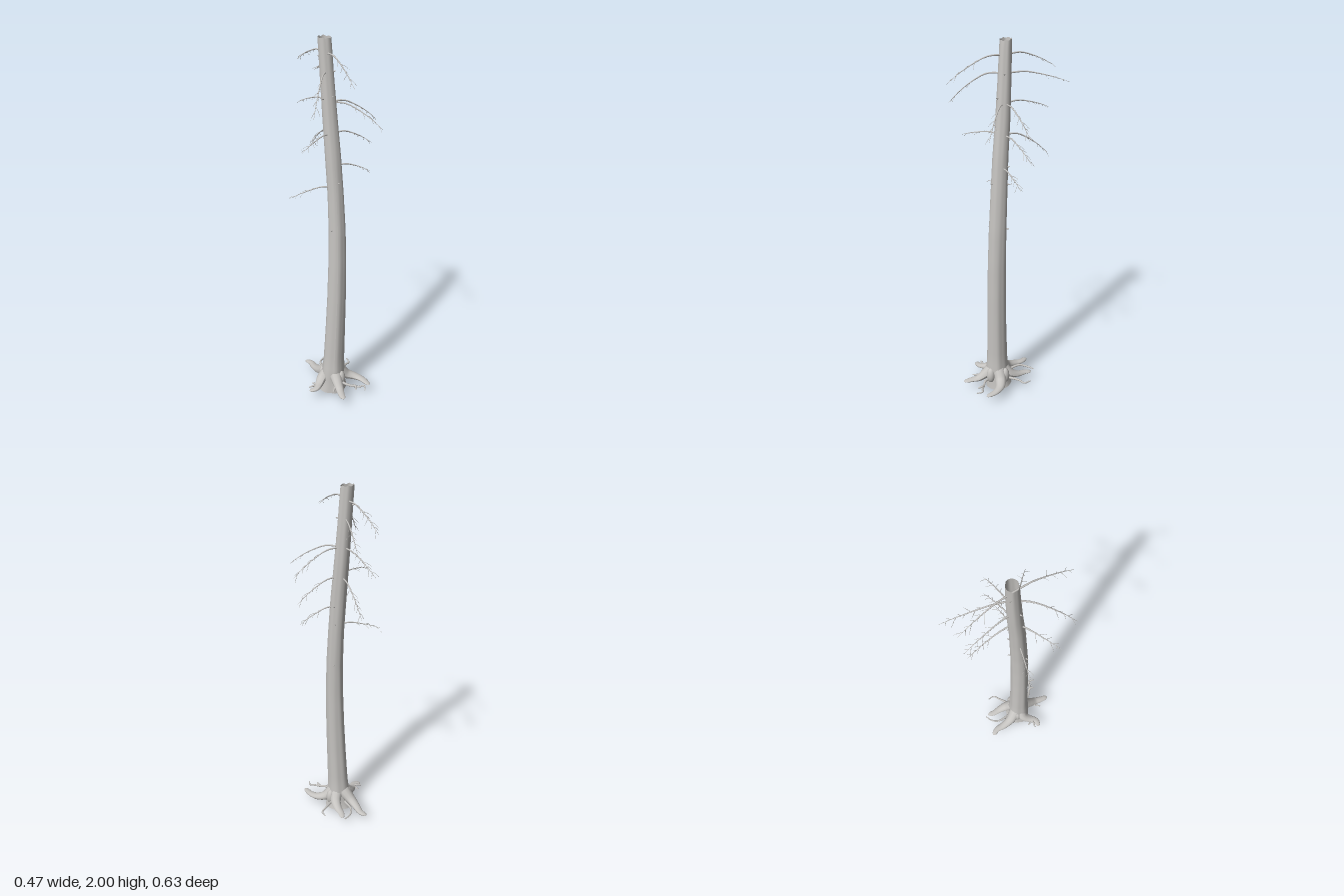
import * as THREE from 'three';
import { mergeGeometries } from 'three/addons/utils/BufferGeometryUtils.js';

const V = (x, y, z) => new THREE.Vector3(x, y, z);

// Trunk rows: height, centre x, centre z, radius x, radius z
const ROWS = [
  [0, -0.015, 0.063, 0.08, 0.073], [0.03, -0.013, 0.066, 0.072, 0.067],
  [0.06, -0.012, 0.068, 0.068, 0.065], [0.12, -0.011, 0.071, 0.064, 0.063],
  [0.2, -0.008, 0.072, 0.058, 0.057], [0.4, 0, 0.073, 0.054, 0.053],
  [0.6, 0.007, 0.073, 0.051, 0.051], [0.8, 0.011, 0.071, 0.048, 0.049],
  [1, 0.011, 0.065, 0.045, 0.047], [1.2, 0.004, 0.056, 0.042, 0.044],
  [1.4, -0.008, 0.046, 0.041, 0.041], [1.6, -0.022, 0.031, 0.038, 0.038],
  [1.8, -0.035, 0.02, 0.035, 0.034], [2, -0.047, 0.011, 0.033, 0.03],
];

function trunkRow(y) {
  let i = 0;
  while (i < ROWS.length - 2 && y > ROWS[i + 1][0]) i++;
  const a = ROWS[i], b = ROWS[i + 1], t = (y - a[0]) / (b[0] - a[0]);
  return a.map((v, k) => v + (b[k] - v) * t);
}

// Point on the lightly fluted bark
function bark(y, angle, scale = 1) {
  const [, cx, cz, rx, rz] = trunkRow(y);
  const f = scale * (1 + 0.025 * Math.sin(5 * angle + y * 2) + 0.015 * Math.sin(9 * angle - y));
  return V(cx + Math.sin(angle) * rx * f, y, cz + Math.cos(angle) * rz * f);
}

function reshape(geometry, rule) {
  const p = geometry.attributes.position, v = V(0, 0, 0);
  for (let i = 0; i < p.count; i++) {
    v.fromBufferAttribute(p, i);
    const q = rule(v, i);
    p.setXYZ(i, q.x, q.y, q.z);
  }
  return geometry;
}

// Tapered tube along points; radii are spread evenly, flat squashes it vertically
function limb(points, radii, sides = 6, segments = 10, flat = 1) {
  const curve = new THREE.CatmullRomCurve3(points);
  const g = new THREE.TubeGeometry(curve, segments, 1, sides, false);
  const centres = curve.getSpacedPoints(segments);
  reshape(g, (v, i) => {
    const k = Math.floor(i / (sides + 1)), t = k / segments, s = t * (radii.length - 1);
    const j = Math.min(Math.floor(s), radii.length - 2);
    const r = THREE.MathUtils.lerp(radii[j], radii[j + 1], s - j);
    v.sub(centres[k]).multiplyScalar(r);
    v.y *= THREE.MathUtils.lerp(1, flat, t);
    return v.add(centres[k]);
  });
  if (flat !== 1) g.computeVertexNormals();
  return g;
}

// Drooping branch with side twigs, from the trunk at height y to a tip
function branch(y, tip, twigs) {
  const [, cx, cz] = trunkRow(y);
  const a = V(cx, y - 0.01, cz), b = V(...tip), drop = y - b.y;
  const at = (t, fall) => V(0, 0, 0).lerpVectors(a, b, t).setY(y - drop * fall);
  const pts = [a, at(0.3, 0.07), at(0.55, 0.3), at(0.8, 0.64), b];
  const curve = new THREE.CatmullRomCurve3(pts);
  const parts = [limb(pts, [0.005, 0.004, 0.003, 0.002, 0.0008], 6, 14)];
  const up = V(0, 1, 0);
  for (let k = 0; k < twigs; k++) {
    const t = 0.42 + 0.54 * k / twigs, p = curve.getPointAt(t), side = k % 2 ? 1 : -1;
    const dir = curve.getTangentAt(t).applyAxisAngle(up, side * (0.8 + 0.2 * Math.sin(k * 2.3 + y * 9)));
    const len = 0.034 + 0.014 * Math.sin(k * 1.7 + y * 13);
    const end = p.clone().addScaledVector(dir, len);
    const mid = p.clone().lerp(end, 0.5).add(V(0, 0.002, 0));
    end.y -= 0.006;
    parts.push(limb([p, mid, end], [0.0014, 0.0011, 0.0005], 4, 3));
  }
  return mergeGeometries(parts);
}

export function createModel() {
  const tree = new THREE.Group();
  tree.name = 'deadTree';
  const wood = new THREE.MeshStandardMaterial({ color: 0xc6c4c1, side: THREE.DoubleSide });
  wood.name = 'weatheredWood';
  const add = (name, geometry) => {
    const m = new THREE.Mesh(geometry, wood);
    m.name = name;
    tree.add(m);
  };

  // Hollow trunk with a slanted foot and broken top
  const trunk = reshape(new THREE.CylinderGeometry(1, 1, 2, 36, 50, true), (v) => {
    const y = v.y + 1, a = Math.atan2(v.x, v.z), q = bark(y, a);
    if (y < 0.02) q.y += 0.007 * (1 - Math.cos(a));
    if (y > 1.99) q.y -= 0.005 * (1 + Math.sin(4 * a + 1) * Math.cos(3 * a));
    return q;
  });
  trunk.computeVertexNormals();
  add('trunk', trunk);

  // Thick buttress roots: start, bends and tip
  const roots = [
    [[-0.035, 0.125, 0.05], [-0.08, 0.08, 0.005], [-0.11, 0.064, -0.05], [-0.125, 0.062, -0.09], [-0.158, 0.06, -0.123]],
    [[0, 0.125, 0.05], [0.012, 0.085, 0], [0.003, 0.066, -0.05], [-0.012, 0.062, -0.09], [-0.017, 0.06, -0.132]],
    [[0.015, 0.125, 0.065], [0.065, 0.08, 0.06], [0.115, 0.066, 0.07], [0.155, 0.062, 0.1], [0.188, 0.06, 0.157]],
    [[-0.005, 0.125, 0.09], [0.005, 0.09, 0.14], [0.015, 0.066, 0.185], [0.02, 0.062, 0.225], [0.03, 0.06, 0.272]],
    [[-0.03, 0.125, 0.07], [-0.075, 0.085, 0.09], [-0.095, 0.068, 0.125], [-0.115, 0.064, 0.165], [-0.155, 0.06, 0.18]],
  ];
  // Radius narrows outward and closes in a rounded tip
  const rootRadii = Array.from({ length: 31 }, (_, k) => {
    const t = k / 30, cap = Math.max(0, (t - 0.88) / 0.12);
    return (0.015 + 0.025 * (1 - t) ** 1.3) * Math.sqrt(1 - cap * cap);
  });
  for (const r of roots) add('root', limb(r.map((p) => V(...p)), rootRadii, 12, 30, 0.42));

  // Low swellings where further roots begin
  for (const [x, z] of [[0.04, 0.032], [-0.066, 0.052], [0.03, 0.113]]) {
    const g = new THREE.SphereGeometry(0.025, 16, 12);
    g.scale(1, 1.9, 1);
    g.translate(x, 0.09, z);
    add('rootSwelling', g);
  }

  // Thin wandering rootlets as [x, z] paths
  const rootlets = [
    [[0.03, 0.11], [0.05, 0.145], [0.1, 0.165], [0.13, 0.175], [0.155, 0.172], [0.158, 0.21]],
    [[0.095, 0.162], [0.108, 0.175], [0.107, 0.197]],
    [[0.01, 0.13], [-0.008, 0.17], [-0.025, 0.215]],
    [[0.03, 0.02], [0.075, -0.045], [0.097, -0.07], [0.085, -0.11]],
    [[-0.045, -0.0], [-0.073, -0.07], [-0.06, -0.115], [-0.03, -0.147]],
    [[-0.075, 0.105], [-0.115, 0.13], [-0.135, 0.112]],
    [[-0.1, 0.14], [-0.13, 0.148], [-0.157, 0.152]],
  ];
  for (const path of rootlets) {
    add('rootlet', limb(path.map(([x, z], i) => V(x, 0.067 + 0.004 * Math.sin(i * 2), z)),
      [0.008, 0.007, 0.006, 0.005, 0.003], 7, 16));
  }

  // Branches: height on trunk, tip, twig count
  const branches = [
    [1.93, [0.065, 1.81, 0.312], 7], [1.93, [-0.165, 1.84, -0.245], 9],
    [1.84, [-0.122, 1.67, 0.295], 7], [1.84, [-0.063, 1.77, -0.315], 8],
    [1.69, [-0.16, 1.62, -0.23], 9], [1.69, [0.225, 1.56, -0.07], 8],
    [1.69, [0.232, 1.56, 0.132], 7], [1.53, [-0.175, 1.485, 0.225], 7],
    [1.53, [-0.1, 1.39, -0.215], 9], [1.53, [0.205, 1.43, -0.08], 8],
    [1.36, [0.195, 1.29, -0.03], 8], [1.25, [-0.233, 1.195, 0.08], 7],
  ];
  for (const [y, tip, twigs] of branches) add('branch', branch(y, tip, twigs));

  // Broken stubs: height and direction
  const stubs = [[1.01, -0.75], [1.01, 3.0], [1.26, 2.9], [1.27, 0.4], [1.36, 2.6],
    [1.7, 5.4], [1.71, 0.5], [1.83, 1.4], [1.9, 4.2]];
  for (const [y, a] of stubs) {
    const s = bark(y, a, 0.8), e = bark(y, a, 1.35);
    e.y += 0.004;
    add('stub', limb([s, e], [0.005, 0.0045, 0.0035, 0.0005], 6, 6));
  }
  return tree;
}
